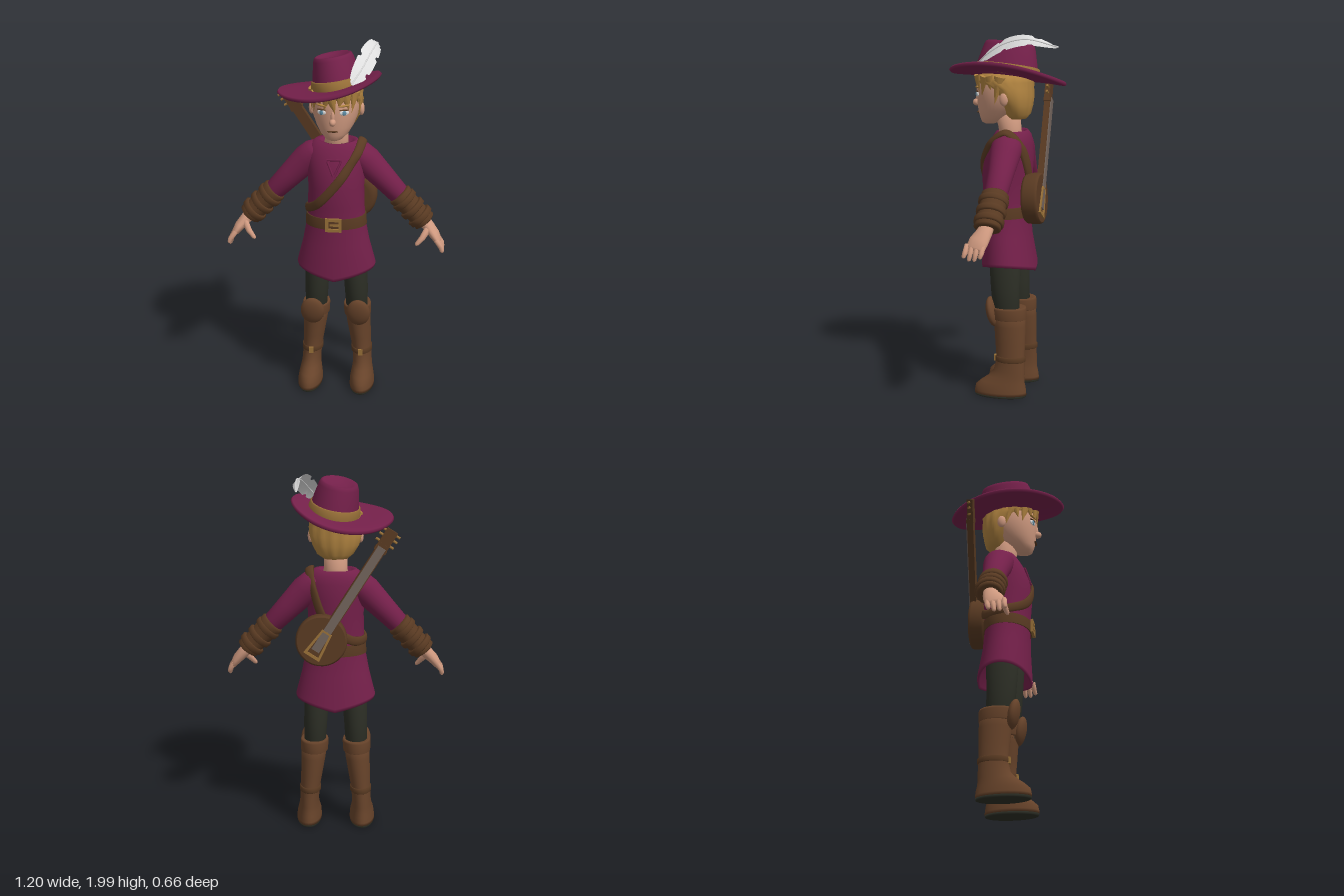
import * as THREE from 'three';
import { mergeGeometries } from 'three/addons/utils/BufferGeometryUtils.js';

const V = (x, y, z) => new THREE.Vector3(x, y, z);
const paint = (name, color) => Object.assign(new THREE.MeshStandardMaterial({ color }), { name });

// Skin over elliptical rings [x, y, z, halfWidth, halfDepth]; with `ref` the rings turn along their path.
function loft(rows, n = 28, ref = null) {
  const pos = [], idx = [], c = rows.map(r => V(r[0], r[1], r[2]));
  rows.forEach((r, j) => {
    let X = V(1, 0, 0), Z = V(0, 0, 1);
    if (ref) {
      const t = c[Math.min(j + 1, c.length - 1)].clone().sub(c[Math.max(j - 1, 0)]).normalize();
      X = t.clone().cross(ref(c[j])).normalize();
      Z = X.clone().cross(t);
    }
    for (let i = 0; i < n; i++) {
      const a = i / n * Math.PI * 2;
      pos.push(...c[j].clone().addScaledVector(X, r[3] * Math.sin(a)).addScaledVector(Z, r[4] * Math.cos(a)));
    }
  });
  for (let j = 0; j < rows.length - 1; j++) for (let i = 0; i < n; i++) {
    const a = j * n + i, b = j * n + (i + 1) % n;
    idx.push(a, b, a + n, b, b + n, a + n);
  }
  // closed ends
  const e = rows.length * n, last = e - n;
  pos.push(...c[0], ...c[c.length - 1]);
  for (let i = 0; i < n; i++) {
    const k = (i + 1) % n;
    idx.push(e, k, i, e + 1, last + i, last + k);
  }
  const g = new THREE.BufferGeometry();
  g.setAttribute('position', new THREE.Float32BufferAttribute(pos, 3));
  g.setIndex(idx);
  g.computeVertexNormals();
  return g;
}
const alongZ = () => V(0, 0, 1);
const limb = (rows, n = 16) => loft(rows, n, alongZ);

function bend(g, rule) {
  const p = g.attributes.position, v = V();
  for (let i = 0; i < p.count; i++) { rule(v.fromBufferAttribute(p, i)); p.setXYZ(i, v.x, v.y, v.z); }
  g.computeVertexNormals();
  return g;
}
function mirrored(g) {
  const m = g.clone().applyMatrix4(new THREE.Matrix4().makeScale(-1, 1, 1));
  const src = m.index ? Array.from(m.index.array) : Array.from({ length: m.attributes.position.count }, (_, i) => i);
  for (let i = 0; i < src.length; i += 3) [src[i + 1], src[i + 2]] = [src[i + 2], src[i + 1]];
  m.setIndex(src);
  return m;
}
const ball = (x, y, z, a, b, c) => new THREE.SphereGeometry(1, 20, 14).scale(a, b, c).translate(x, y, z);
const box = (x, y, z, w, h, d) => new THREE.BoxGeometry(w, h, d).translate(x, y, z);
// flat outline with an optional hole
function plate(outer, hole, depth) {
  const s = new THREE.Shape(outer.map(p => new THREE.Vector2(...p)));
  if (hole) s.holes.push(new THREE.Path(hole.map(p => new THREE.Vector2(...p))));
  return new THREE.ExtrudeGeometry(s, { depth, bevelEnabled: false });
}
const rect = (w, h) => [[-w, -h], [w, -h], [w, h], [-w, h]];

export function createModel() {
  const cloth = paint('burgundy cloth', 0x74204a), leather = paint('boot leather', 0x67432a),
    dark = paint('dark leather', 0x593a22), gold = paint('old gold', 0x987038), skin = paint('skin', 0xd09a80),
    hair = paint('hair', 0xb08340), wool = paint('dark wool', 0x2c2e25), white = paint('white', 0xdedede),
    grey = paint('string grey', 0x70625a), blue = paint('eye blue', 0x5f8fa8);
  const root = new THREE.Group();
  const add = (name, g, m, parent = root) => {
    const o = new THREE.Mesh(g, m); o.name = name; parent.add(o); return o;
  };
  const pair = (name, g, m) => { add('left' + name, g, m); add('right' + name, mirrored(g), m); };

  // Tunic with pointed hem
  const tunic = loft([[0, .9, -.01, .16, .1], [0, .755, -.015, .205, .135], [0, .745, -.015, .215, .146], [0, .762, -.015, .22, .15],
    [0, .9, -.005, .185, .132], [0, 1.03, 0, .16, .126], [0, 1.12, 0, .156, .13], [0, 1.22, 0, .153, .138],
    [0, 1.32, -.01, .161, .135], [0, 1.4, -.022, .166, .118], [0, 1.445, -.027, .148, .103], [0, 1.472, -.027, .115, .085],
    [0, 1.468, -.025, .09, .074], [0, 1.44, -.02, .075, .066]], 48);
  add('tunic', bend(tunic, v => {
    const low = THREE.MathUtils.clamp((.95 - v.y) / .2, 0, 1);
    v.y -= .055 * low * (1 - Math.min(1, Math.abs(v.x) / .22));
    if (v.z > .03 && v.y > 1.43) v.y -= .2 * (v.z - .03);
  }), cloth);
  const notch = new THREE.CurvePath(), tri = [V(-.04, 1.39, .104), V(.04, 1.39, .104), V(0, 1.3, .133)];
  tri.forEach((p, i) => notch.add(new THREE.LineCurve3(p, tri[(i + 1) % 3])));
  add('necklineTrim', new THREE.TubeGeometry(notch, 30, .006, 6, true), cloth);

  // Belt and buckle
  add('belt', loft([[0, 1, 0, .166, .131], [0, 1, 0, .17, .135], [0, 1.06, 0, .166, .135], [0, 1.06, 0, .16, .13]], 40), dark);
  add('beltBuckle', plate(rect(.045, .038), rect(.028, .022), .014).translate(0, 1.03, .134), gold);
  add('bucklePin', box(.008, 1.03, .142, .055, .01, .01), gold);

  // Shoulder strap looped around the body
  const loop = new THREE.CatmullRomCurve3([V(.05, 1.2, -.14), V(.12, 1.38, -.112), V(.142, 1.472, -.03), V(.125, 1.425, .05),
    V(.085, 1.36, .098), V(.03, 1.28, .134), V(-.09, 1.14, .111), V(-.162, 1.08, -.01), V(-.09, 1.09, -.113)], true);
  add('shoulderStrap', loft(loop.getPoints(70).map(p => [p.x, p.y, p.z, .026, .012]), 10,
    p => V(p.x * .8, Math.max(0, p.y - 1.38) * 2.5, p.z + .02).normalize()), dark);

  // Arms, bracers and hands
  pair('Sleeve', limb([[.09, 1.41, -.03, .06, .08], [.125, 1.39, -.03, .074, .085], [.165, 1.352, -.03, .08, .083],
    [.25, 1.265, -.03, .069, .07], [.37, 1.14, -.025, .055, .06]], 22), cloth);
  pair('Bracer', limb([[.34, 1.17, -.027, .06, .065], [.347, 1.163, -.027, .07, .075], [.365, 1.145, -.026, .066, .072],
    [.42, 1.087, -.025, .06, .07], [.47, 1.035, -.022, .06, .07], [.486, 1.018, -.022, .064, .073], [.49, 1.013, -.022, .05, .06]], 22), dark);
  for (const [i, t] of [.2, .52, .82].entries()) {
    const x = .347 + .14 * t, y = 1.163 - .145 * t;
    pair('BracerBand' + (i + 1), limb([[x - .013, y + .013, -.024, .065, .073], [x - .009, y + .009, -.024, .075, .081],
      [x + .009, y - .009, -.024, .073, .08], [x + .013, y - .013, -.024, .06, .07]], 22), dark);
  }
  pair('Palm', limb([[.46, 1.045, -.024, .036, .036], [.505, .998, -.012, .033, .043], [.542, .957, .008, .028, .054],
    [.566, .922, .02, .02, .052], [.572, .912, .022, .008, .04]]), skin);
  const digit = pts => limb([...pts, [...pts[2].slice(0, 3).map((c, i) => c + (c - pts[1][i]) * .25), .004, .004]], 8);
  const fingers = [0, 1, 2, 3].map(i => {
    const z = -.022 + i * .029, d = i % 3 ? 0 : .012;
    return digit([[.556, .94, z, .015, .015], [.584, .9, z + .006, .014, .014], [.59, .868 + d, z + .012, .011, .011]]);
  });
  pair('Fingers', mergeGeometries(fingers), skin);
  pair('Thumb', digit([[.508, .985, .025, .02, .018], [.48, .945, .055, .017, .016], [.452, .913, .066, .012, .012]]), skin);

  // Legs and boots
  pair('TrouserLeg', loft([[.118, .42, -.03, .058, .07], [.112, .6, -.018, .065, .08], [.1, .85, -.012, .072, .092]]), wool);
  pair('Sole', loft([[.15, 0, 0, .062, .138], [.15, .003, 0, .067, .145], [.15, .016, 0, .068, .147]]), wool);
  pair('Boot', loft([[.15, .014, 0, .07, .148], [.15, .03, 0, .07, .147], [.149, .06, -.001, .067, .142], [.149, .085, -.012, .062, .125],
    [.148, .115, -.032, .056, .103], [.147, .15, -.048, .053, .087], [.142, .22, -.055, .054, .078], [.134, .3, -.052, .06, .083],
    [.124, .4, -.048, .068, .088], [.118, .48, -.042, .07, .09]]), leather);
  pair('BootCuff', loft([[.119, .435, -.042, .068, .088], [.119, .44, -.042, .076, .097], [.117, .495, -.038, .078, .1],
    [.117, .507, -.038, .074, .096], [.117, .5, -.038, .062, .082]]), leather);
  pair('KneePad', ball(0, 0, 0, .067, .085, .032).rotateX(.22).translate(.13, .475, .05), leather);
  pair('AnkleStrap', loft([[.142, .2, -.055, .054, .078], [.142, .205, -.055, .06, .085], [.141, .228, -.055, .06, .085],
    [.141, .233, -.055, .054, .078]]), dark);
  pair('AnkleBuckle', box(.141, .216, .031, .026, .034, .012), gold);

  // Head and face
  add('neck', loft([[0, 1.4, -.02, .07, .066], [0, 1.48, -.015, .064, .062], [0, 1.58, 0, .065, .07]]), skin);
  add('head', loft([[0, 1.503, .1, .022, .025], [0, 1.513, .093, .045, .05], [0, 1.54, .07, .075, .082], [0, 1.58, .045, .1, .117],
    [0, 1.63, .028, .12, .138], [0, 1.68, .02, .128, .15], [0, 1.74, .015, .129, .152], [0, 1.77, .01, .115, .135]], 36), skin);
  add('nose', ball(0, 1.618, .172, .018, .02, .024), skin);
  add('noseBridge', ball(0, 1.645, .165, .011, .035, .012), skin);
  add('mouth', ball(0, 1.566, .161, .03, .005, .007), dark);
  pair('Ear', ball(.135, 1.648, -.015, .016, .036, .024).rotateZ(0), skin);
  pair('EyeWhite', ball(0, 0, 0, .026, .015, .007).rotateY(.4).translate(.06, 1.668, .152), white);
  pair('Iris', ball(0, 0, 0, .011, .013, .004).rotateY(.4).translate(.061, 1.668, .158), blue);
  pair('Eyelid', ball(0, 0, 0, .028, .004, .007).rotateY(.4).translate(.06, 1.683, .154), dark);
  pair('Eyebrow', ball(0, 0, 0, .032, .006, .008).rotateZ(.08).rotateY(.4).translate(.06, 1.706, .154), hair);

  // Hair: back shell with ripples, and fringe locks
  add('hairShell', bend(loft([[0, 1.535, -.06, .065, .045], [0, 1.56, -.06, .098, .066], [0, 1.61, -.055, .126, .083], [0, 1.66, -.04, .14, .104],
    [0, 1.7, -.02, .143, .122], [0, 1.735, .01, .143, .155], [0, 1.765, .01, .132, .155], [0, 1.79, .01, .09, .12]], 60), v => {
    const k = 1 + .018 * Math.sin(Math.atan2(v.x, v.z) * 15);
    v.x *= k; v.z *= k;
  }), hair);
  const locks = [];
  for (let i = 0; i < 11; i++) {
    const a = -1.5 + i * .3, h = .075 + .018 * (i * 7 % 3) + (i % 10 ? 0 : .06);
    locks.push(new THREE.ConeGeometry(.034, h, 8).rotateX(Math.PI).scale(1, 1, .5).rotateZ(i % 2 ? .25 : -.2).rotateY(a)
      .translate(.13 * Math.sin(a), 1.768 - h / 2, .012 + .155 * Math.cos(a)));
  }
  add('fringe', mergeGeometries(locks), hair);

  // Wide tilted hat
  const hat = new THREE.Group();
  hat.name = 'hat';
  hat.position.set(0, 1.76, 0);
  hat.rotation.set(-.09, 0, .18);
  root.add(hat);
  const ring = (y, a, b, x = .012) => [x, y, .005, a, b];
  add('brim', bend(loft([ring(-.01, .1, .13, 0), ring(-.008, .2, .24, -.015), ring(-.012, .272, .316, -.03), ring(-.002, .282, .326, -.03),
    ring(.01, .274, .318, -.03), ring(.012, .2, .24, -.015), ring(.014, .12, .16, 0)], 56),
  v => { v.y += .04 * ((v.x + .03) / .28) ** 2; }), cloth, hat);
  add('crown', loft([ring(.0, .136, .178), ring(.05, .13, .17), ring(.11, .119, .155), ring(.16, .108, .142), ring(.178, .1, .134),
    ring(.182, .09, .125), ring(.172, .076, .112), ring(.162, .04, .07)], 44), cloth, hat);
  add('hatBand', loft([ring(.008, .138, .18), ring(.012, .145, .188), ring(.056, .137, .179), ring(.06, .128, .168)], 44), gold, hat);

  // Curved feather with notched edges
  const quill = new THREE.CatmullRomCurve3([V(.1, 1.825, .15), V(.145, 1.89, .07), V(.18, 1.95, -.04), V(.2, 1.972, -.16), V(.195, 1.935, -.325)]);
  const vane = [], faces = [], N = 40, across = V(.7, -.66, .2).normalize();
  for (let i = 0; i <= N; i++) {
    const t = i / N, p = quill.getPoint(t), w = .056 * Math.pow(Math.sin(Math.PI * Math.pow(t, .75)), .7);
    const cut = k => i % k > k - 3 ? .72 : 1;
    vane.push(...p.clone().addScaledVector(across, -w * cut(17)).add(V(-.004, -.006, 0)), ...p,
      ...p.clone().addScaledVector(across, w * cut(11)).add(V(-.004, -.006, 0)));
    if (i < N) for (const k of [0, 1]) {
      const a = i * 3 + k;
      faces.push(a, a + 1, a + 3, a + 1, a + 4, a + 3);
    }
  }
  const feather = new THREE.BufferGeometry();
  feather.setAttribute('position', new THREE.Float32BufferAttribute(vane, 3));
  feather.setIndex(faces);
  feather.computeVertexNormals();
  white.side = THREE.DoubleSide;
  add('feather', feather, white);
  add('featherQuill', new THREE.TubeGeometry(quill, 30, .004, 6), white);

  // Round stringed instrument on the back, its face toward -z
  const lute = new THREE.Group();
  lute.name = 'lute';
  lute.position.set(.072, 1.1, 0);
  lute.rotation.set(.055, 0, .564);
  root.add(lute);
  const disc = (y, r) => [0, y, 0, r, r];
  add('luteBody', loft([disc(.12, .1), disc(.125, .125), disc(.14, .138), disc(.2, .14), disc(.212, .136), disc(.215, .13), disc(.215, .13),
    disc(.215, .02)], 40).rotateX(-Math.PI / 2), dark, lute);
  add('luteNeck', box(0, .36, -.2, .056, .52, .034), dark, lute);
  add('luteStrings', box(0, .27, -.2195, .046, .66, .007), grey, lute);
  add('luteNut', box(0, .585, -.2, .07, .022, .04), dark, lute);
  add('luteHead', box(0, .65, -.197, .064, .11, .032), dark, lute);
  for (const s of [-1, 1]) for (const y of [.625, .66, .69])
    add('tuningPeg', new THREE.CylinderGeometry(.007, .007, .03, 8).rotateZ(Math.PI / 2).translate(s * .04, y, -.2), gold, lute);
  add('luteTailpiece', plate([[-.05, -.1], [.05, -.1], [.03, .06], [-.03, .06]], [[-.034, -.085], [.034, -.085], [.02, .05], [-.02, .05]], .009)
    .translate(0, 0, -.224), gold, lute);
  return root;
}
